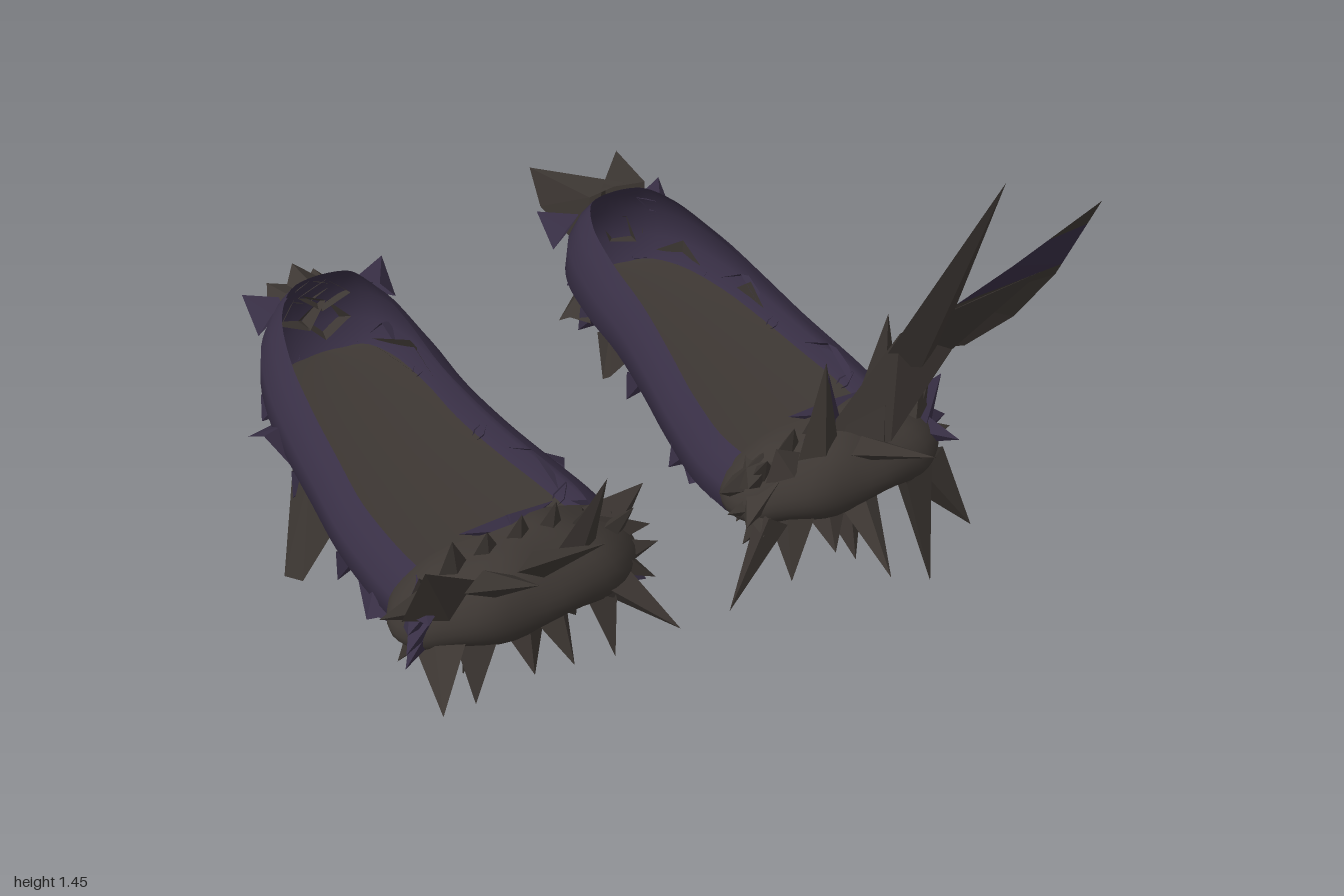
import * as THREE from 'three';

const brown = new THREE.MeshStandardMaterial({ color: 0x3d3733, side: THREE.DoubleSide });
brown.name = 'dark brown hide';
const purple = new THREE.MeshStandardMaterial({ color: 0x382f45, side: THREE.DoubleSide });
purple.name = 'dark purple cloth';

const V = (x, y, z) => new THREE.Vector3(x, y, z);
const clamp = THREE.MathUtils.clamp, lerp = THREE.MathUtils.lerp;
let seed = 7;
const rnd = () => (seed = (seed * 16807) % 2147483647) / 2147483647;

// footprint stations: z, inner half width, outer half width
const STATIONS = [[0.54, 0.31, 0.28], [0.4, 0.32, 0.3], [0.2, 0.29, 0.31], [0, 0.25, 0.3],
  [-0.2, 0.22, 0.29], [-0.4, 0.21, 0.27], [-0.58, 0.18, 0.22], [-0.68, 0.12, 0.14]];
const outline = new THREE.CatmullRomCurve3([
  ...STATIONS.map(([z, a]) => V(-a, 0, z)), V(0.01, 0, -0.715),
  ...STATIONS.map(([z, , b]) => V(b, 0, z)).reverse()]);
const bottomY = z => 0.35 - z * 0.03;
const topY = z => 0.51 + 0.15 * Math.pow(clamp((0.2 - z) / 0.9, 0, 1), 1.4);

function mesh(name, geometry, material, parent) {
  const m = new THREE.Mesh(geometry, material);
  m.name = name;
  parent.add(m);
  return m;
}

// surface through equal rows of points
function loft(rows) {
  const n = rows[0].length, index = [];
  for (let i = 0; i < rows.length - 1; i++) for (let j = 0; j < n - 1; j++) {
    const a = i * n + j, b = a + n;
    index.push(a, b, a + 1, b, b + 1, a + 1);
  }
  const g = new THREE.BufferGeometry().setFromPoints(rows.flat());
  g.setIndex(index);
  g.computeVertexNormals();
  return g;
}

// faceted sheet or solid from corner points and triangles
function facets(points, tris) {
  const g = new THREE.BufferGeometry().setFromPoints(tris.flat().map(i => points[i]));
  g.computeVertexNormals();
  return g;
}

// flattened thorn from base to tip
function thorn(name, base, tip, r, material, parent, flat = 0.45) {
  const d = tip.clone().sub(base), len = d.length();
  const g = new THREE.ConeGeometry(r, len, 4, 1, true).toNonIndexed();
  g.translate(0, len / 2, 0).scale(1, 1, flat);
  g.computeVertexNormals();
  const m = mesh(name, g, material, parent);
  m.position.copy(base);
  m.quaternion.setFromUnitVectors(V(0, 1, 0), d.normalize());
}

function buildShoe(name, cx, side, tips, flaps) {
  const shoe = new THREE.Group();
  shoe.name = name;
  const X = u => cx + side * u;
  const N = 64, path = outline.getPoints(N);

  // side wall: bulges at the middle, leans in at the rim
  const profile = [[0, -0.03], [0.25, 0.02], [0.6, 0.01], [0.85, -0.025], [1, -0.06]];
  mesh('sideWall', loft(path.map((p, i) => {
    const t = outline.getTangent(i / N), lo = bottomY(p.z), hi = topY(p.z);
    return profile.map(([h, o]) => V(X(p.x + t.z * o), lerp(lo, hi, h), p.z - t.x * o));
  })), purple, shoe);

  // insole and underside
  const rows = [];
  for (let i = 0; i <= N / 2; i++) {
    const a = path[i], b = path[N - i], row = [];
    for (let k = 0; k <= 6; k++) {
      const p = a.clone().lerp(b, k / 6);
      row.push(V(X(p.x * 0.95), bottomY(p.z) + 0.01 - 0.015 * Math.sin(Math.PI * k / 6), p.z * 0.985));
    }
    rows.push(row);
  }
  mesh('insole', loft(rows), brown, shoe);

  // hollow rounded toe cap, open behind and drooping at the sides
  const c = V(cx, 0.46, 0.55);
  const cap = new THREE.SphereGeometry(1, 28, 18, -0.4, Math.PI + 0.8);
  const pos = cap.attributes.position;
  for (let i = 0; i < pos.count; i++) {
    const x = pos.getX(i), y = pos.getY(i), z = pos.getZ(i);
    const lump = 1 + 0.07 * Math.sin(x * 7) * Math.cos(z * 5);
    pos.setXYZ(i, x * 0.34, y * 0.14 * lump - 0.05 * x * x, z * 0.18 * lump);
  }
  cap.computeVertexNormals();
  mesh('toeCap', cap, brown, shoe).position.copy(c);

  // ragged fringe under and beside the cap
  for (let i = 0; i < 17; i++) {
    const a = Math.PI * (0.9 + 1.2 * i / 16), s = Math.sin(a), co = Math.cos(a), k = 0.85 + rnd() * 0.3;
    const tip = V(c.x + co * 0.37 * k, c.y + s * 0.25 * k, 0.5 + rnd() * 0.22);
    const base = V(c.x + co * 0.25, c.y + s * 0.07, 0.53 + rnd() * 0.06);
    thorn('fringeThorn', base, tip, 0.09, co * side > 0.88 ? purple : brown, shoe, 0.6);
  }

  // upright crest along the rear edge of the cap
  for (let i = 0; i < 7; i++) {
    const u = -0.25 + i * 0.083;
    thorn('crestThorn', V(cx + u, 0.52 - u * u, 0.56), V(cx + u * 1.15, 0.66 + rnd() * 0.05 - u * u, 0.58 + rnd() * 0.08),
      0.06, brown, shoe, 0.6);
  }

  // purple knot behind the crest
  for (const s of [-1, 1])
    thorn('knotLoop', V(cx, 0.58, 0.53), V(cx + s * 0.13, 0.6, 0.52), 0.035, purple, shoe, 0.6);

  // long thorns
  for (const [x, y, z, r] of tips) {
    const tip = V(x, y, z), d = tip.clone().sub(c);
    const base = V(c.x + clamp(d.x * 0.85, -0.24, 0.24), c.y + clamp(d.y, -0.08, 0.06), c.z + clamp(d.z, -0.02, 0.08));
    thorn('longThorn', base, tip, r, brown, shoe, 0.55);
  }

  // torn flaps along the lower wall
  for (const [s, z, h, tx, ty, tz, material] of flaps) {
    const edge = (zz, y) => {
      const zc = clamp(zz, -0.68, 0.54);
      const i = clamp(STATIONS.findIndex(q => q[0] <= zc), 1, 7), A = STATIONS[i - 1], B = STATIONS[i];
      const w = lerp(A[s > 0 ? 2 : 1], B[s > 0 ? 2 : 1], (A[0] - zc) / (A[0] - B[0]));
      return V(X(s * w), bottomY(zc) + y, zc);
    };
    const tip = V(tx, ty, tz);
    const blunt = tip.clone().lerp(edge(z + h, 0), 0.35).setY(ty + 0.02);
    mesh('wallFlap', facets([edge(z - h, 0.01), edge(z + h, 0.01), edge(z, 0.09), tip, blunt],
      [[0, 2, 3], [2, 4, 3], [2, 1, 4], [0, 3, 4], [0, 4, 1]]), material, shoe);
  }

  // small tatters hanging from the lower edge
  for (let i = 7; i < N - 5; i += 7) {
    const p = path[i], t = outline.getTangent(i / N), y = bottomY(p.z) + 0.02;
    thorn('edgeTatter', V(X(p.x - t.z * 0.015), y, p.z + t.x * 0.015),
      V(X(p.x + t.z * 0.03), y - 0.04 - rnd() * 0.03, p.z - t.x * 0.03), 0.05, purple, shoe, 0.4);
  }

  // heel corners
  for (const s of [-1, 1])
    thorn('heelCorner', V(X(s * 0.16), 0.56, -0.66), V(X(s * 0.22), 0.61, -0.74), 0.07, purple, shoe);
  return shoe;
}

export function createModel() {
  const model = new THREE.Group();
  model.name = 'thornySlippers';

  const right = buildShoe('rightShoe', -0.59, -1, [
    [-0.58, 0.87, 1.0, 0.07], [-0.73, 0.79, 0.97, 0.07], [-0.92, 0.76, 0.78, 0.1], [-0.44, 0.83, 0.76, 0.06],
    [-0.98, 0.52, 0.62, 0.07], [-0.9, 0.3, 0.78, 0.07], [-0.25, 0.3, 0.8, 0.09],
    [-0.2, 0.42, 0.6, 0.07], [-0.36, 0.14, 0.66, 0.08], [-0.77, 0.19, 0.68, 0.07]
  ], [
    [1, -0.07, 0.16, -0.98, 0.1, -0.1, brown], [1, -0.3, 0.12, -0.97, 0.44, -0.31, purple],
    [1, 0.38, 0.12, -0.94, 0.34, 0.42, purple], [-1, -0.5, 0.18, -0.14, 0.04, -0.48, brown],
    [-1, 0.38, 0.11, -0.15, 0.16, 0.46, purple], [-1, 0.12, 0.14, -0.21, 0.36, 0.11, purple],
    [-1, -0.62, 0.07, -0.36, 0.42, -0.68, purple]]);
  for (const [x, y, z] of [[-0.72, 0.6, -0.78], [-0.66, 0.5, -0.79], [-0.63, 0.63, -0.8], [-0.56, 0.58, -0.82], [-0.57, 0.42, -0.8]])
    thorn('heelTuft', V(lerp(x, -0.61, 0.3), lerp(y, 0.53, 0.5), -0.7), V(x, y, z), 0.08, brown, right, 0.8);

  const left = buildShoe('leftShoe', 0.375, 1, [
    [0.25, 0.86, 0.66, 0.07], [0.45, 0.93, 0.64, 0.11], [0.14, 0.6, 0.62, 0.07], [0.39, 0.7, 0.95, 0.07],
    [0.01, 0.42, 0.6, 0.07], [-0.03, 0.17, 0.69, 0.08], [0.63, 0.01, 0.72, 0.1], [0.81, 0.1, 0.66, 0.08],
    [0.16, 0.2, 0.7, 0.07], [0.4, 0.2, 0.82, 0.07], [0.74, 0.44, 0.6, 0.07], [0.63, 0.64, 0.58, 0.09],
    [0.67, 0.22, 0.52, 0.09]
  ], [
    [1, -0.33, 0.12, 0.73, 0.42, -0.33, purple], [1, 0.1, 0.14, 0.73, 0.4, 0.1, purple],
    [1, 0.38, 0.1, 0.76, 0.34, 0.41, purple], [1, 0.33, 0.08, 0.69, 0.17, 0.35, brown],
    [1, -0.58, 0.1, 0.6, 0.15, -0.61, brown], [1, -0.28, 0.09, 0.66, 0.24, -0.3, brown],
    [-1, -0.5, 0.08, 0.1, 0.36, -0.5, brown], [-1, -0.28, 0.09, 0.12, 0.28, -0.26, brown],
    [-1, 0.36, 0.09, 0.03, 0.36, 0.38, purple]]);

  // forked heel tuft: two wedges with upright outer ends
  for (const s of [-1, 1]) {
    const x = u => 0.415 + s * u;
    mesh('heelFork', facets([V(x(-0.04), 0.64, -0.72), V(x(-0.04), 0.42, -0.74), V(x(0.1), 0.64, -0.69),
      V(x(0.1), 0.42, -0.7), V(x(0.15), 0.61, s < 0 ? -1.0 : -0.96), V(x(0.15), 0.5, -0.93)],
    [[0, 2, 4], [1, 5, 3], [0, 4, 5], [0, 5, 1], [2, 3, 5], [2, 5, 4]]), brown, left);
  }
  thorn('heelTuft', V(0.43, 0.48, -0.71), V(0.5, 0.42, -0.82), 0.07, brown, left, 0.7);

  // tall stalk rising from the cap
  mesh('bladeStalk', facets([V(0.28, 0.54, 0.6), V(0.56, 0.53, 0.55), V(0.46, 0.55, 0.69),
    V(0.47, 0.88, 0.67), V(0.66, 0.76, 0.66), V(0.75, 1.08, 0.85), V(0.74, 0.9, 0.66)],
  [[0, 2, 3], [2, 4, 3], [2, 1, 4], [0, 3, 4], [0, 4, 1], [3, 4, 5], [4, 6, 5], [3, 5, 6], [3, 6, 4]]), brown, left);
  // tallest thorn
  thorn('tallThorn', V(0.54, 0.78, 0.64), V(0.49, 1.46, 0.96), 0.1, brown, left, 0.5);
  // small purple tatter beside the stalk
  thorn('purpleTatter', V(0.3, 0.58, 0.6), V(0.26, 0.82, 0.66), 0.06, purple, left);
  // broad blade: brown tip, purple band, brown lower part
  const heel = V(0.64, 0.92, 0.68), shoulder = V(0.74, 1.05, 0.76), point = V(0.95, 1.21, 0.82), edge = V(0.98, 0.9, 0.67);
  const upperIn = shoulder.clone().lerp(point, 0.4), upperOut = edge.clone().lerp(point, 0.7);
  const lowerOut = edge.clone().lerp(point, 0.15);
  mesh('bladeTip', facets([upperIn, upperOut, point], [[0, 1, 2]]), brown, left);
  mesh('bladeBand', facets([heel, shoulder, upperIn, upperOut, lowerOut], [[0, 4, 1], [1, 4, 3], [1, 3, 2]]), purple, left);
  mesh('bladeLower', facets([heel, lowerOut, edge, V(0.88, 0.78, 0.64), V(0.72, 0.74, 0.64), V(0.6, 0.78, 0.65)],
    [[0, 2, 1], [0, 3, 2], [0, 4, 3], [0, 5, 4]]), brown, left);

  model.add(right, left);
  return model;
}
